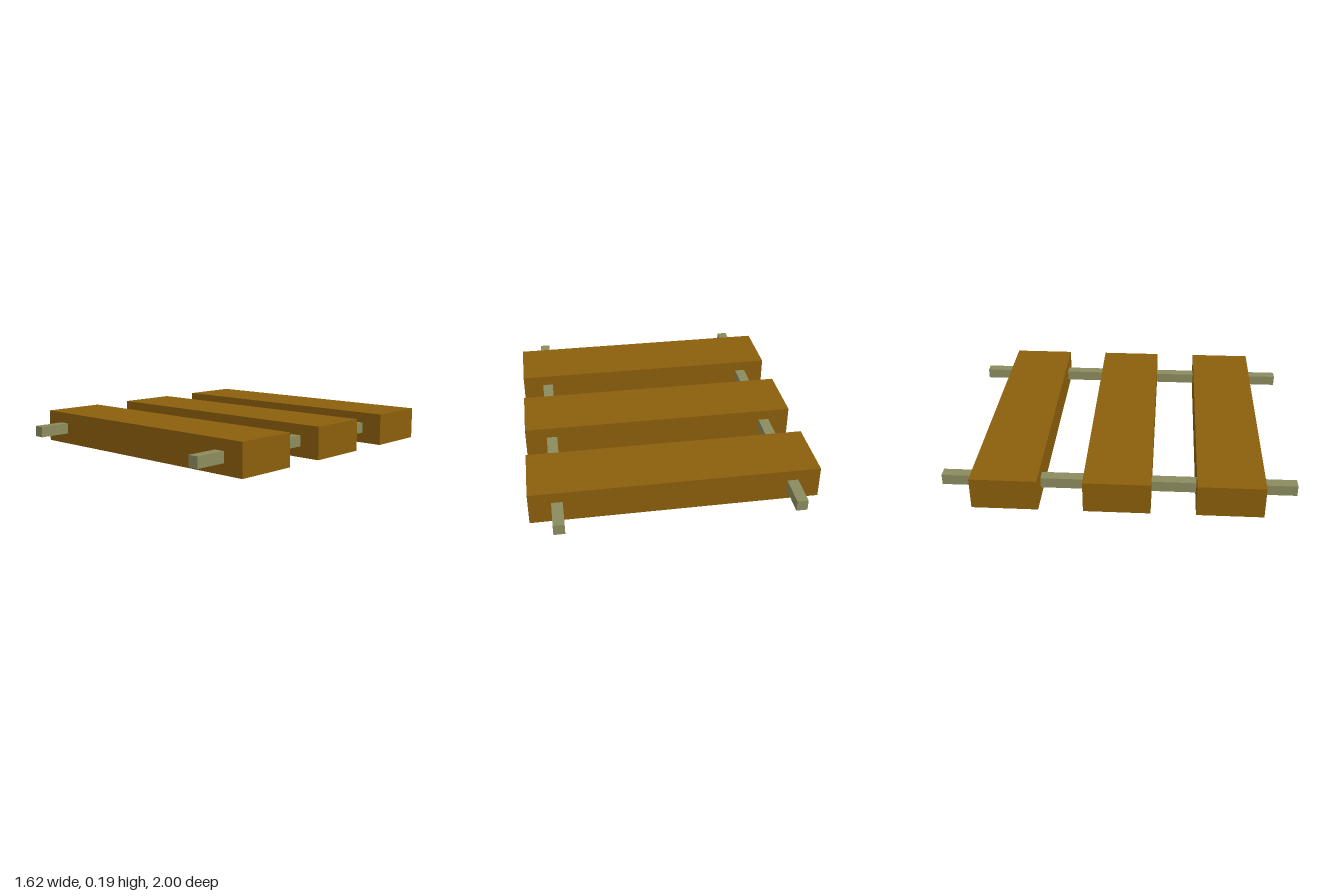
import * as THREE from 'three';

export function createModel() {
  const model = new THREE.Group();
  model.name = 'plankBridge';

  const wood = new THREE.MeshStandardMaterial({ color: 0x8b5e0c });
  wood.name = 'brownWood';
  const cord = new THREE.MeshStandardMaterial({ color: 0x8b8b5e });
  cord.name = 'oliveRope';

  const addBox = (name, material, size, position) => {
    const mesh = new THREE.Mesh(new THREE.BoxGeometry(...size), material);
    mesh.name = name;
    mesh.position.set(...position);
    model.add(mesh);
  };

  // Three planks, evenly spaced front to back
  ['backPlank', 'middlePlank', 'frontPlank'].forEach((name, i) => {
    addBox(name, wood, [1.625, 0.1875, 0.375], [0, 0.09375, (i - 1) * 0.625]);
  });

  // Two square ropes running through the planks
  for (const [name, side] of [['leftRope', 1], ['rightRope', -1]]) {
    addBox(name, cord, [0.0625, 0.0625, 2], [side * 0.65625, 0.09375, 0]);
  }

  return model;
}
